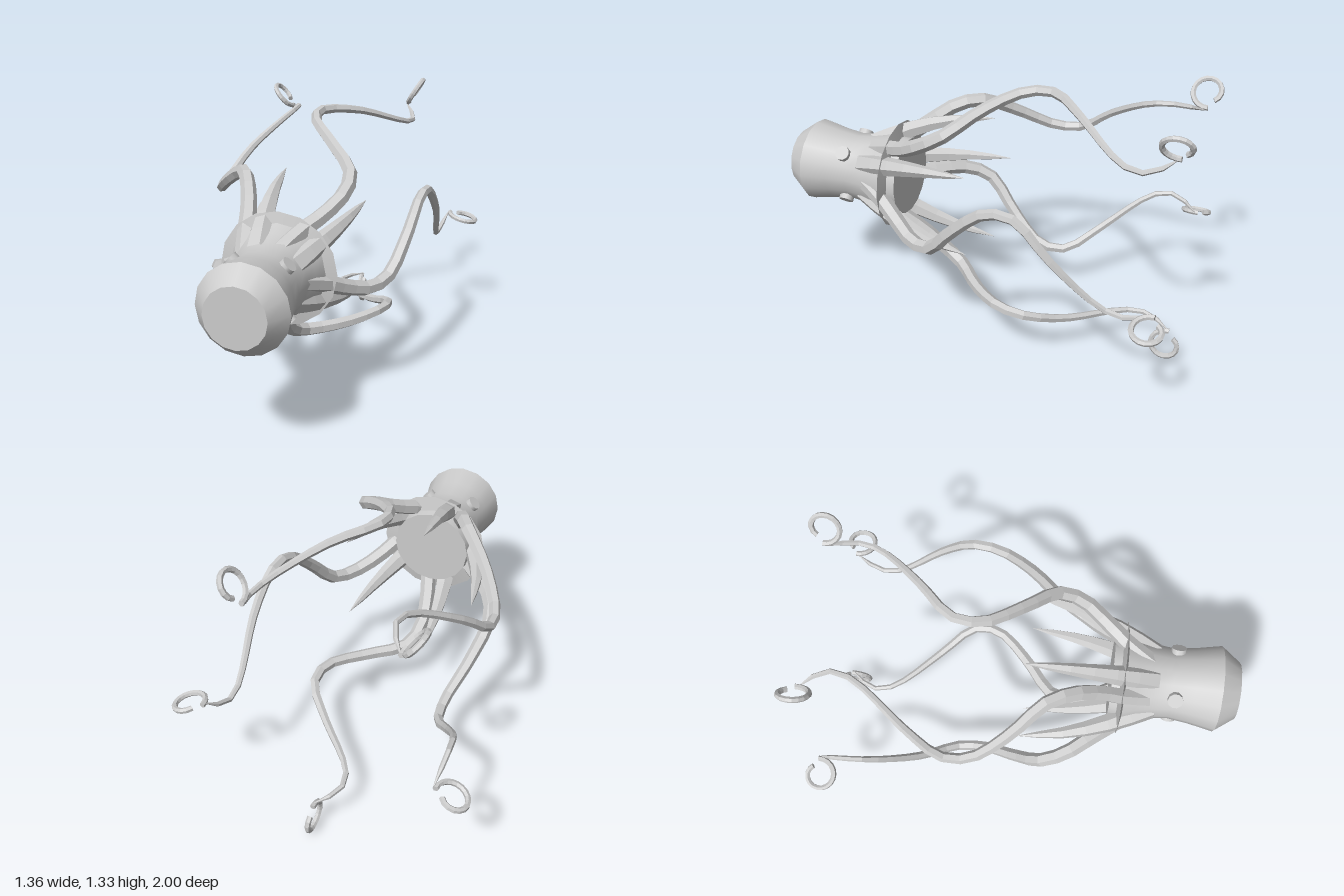
import * as THREE from 'three';

const skin = new THREE.MeshStandardMaterial({ color: 0xcccccc });
skin.name = 'pale grey';

const vec = (p) => new THREE.Vector3(...p);

function part(name, geometry) {
  const mesh = new THREE.Mesh(geometry, skin);
  mesh.name = name;
  return mesh;
}

// Surface of revolution around z; profile is [radius, z] with z rising
function turned(name, profile) {
  const geo = new THREE.LatheGeometry(profile.map(([r, z]) => new THREE.Vector2(r, z)), 16);
  return part(name, geo.rotateX(Math.PI / 2));
}

// Faceted tube whose radius follows radiusAt(t); capped folds both end rings into flat caps
function sweep(name, points, segments, sides, radiusAt, capped = false) {
  const curve = new THREE.CatmullRomCurve3(points.map(vec));
  const geo = new THREE.TubeGeometry(curve, segments, 1, sides);
  const pos = geo.attributes.position;
  const v = new THREE.Vector3();
  for (let i = 0; i <= segments; i++) {
    const end = i === 0 || i === segments;
    const ringCentre = curve.getPointAt(i / segments);
    const target = capped && end
      ? curve.getPointAt((i === 0 ? 1 : segments - 1) / segments) : ringCentre;
    const r = capped && end ? 0 : radiusAt(i / segments);
    for (let j = 0; j <= sides; j++) {
      const k = i * (sides + 1) + j;
      v.fromBufferAttribute(pos, k).sub(ringCentre).multiplyScalar(r).add(target);
      pos.setXYZ(k, v.x, v.y, v.z);
    }
  }
  const flat = geo.toNonIndexed();
  flat.computeVertexNormals();
  return part(name, flat);
}

export function createModel() {
  const model = new THREE.Group();
  model.name = 'tentacledCreature';
  const creature = new THREE.Group();
  creature.name = 'creature';
  creature.position.set(-0.024, 0.72, 0);
  model.add(creature);

  // Body: front face, bevel, waisted barrel, thin collar and rear plug
  creature.add(
    turned('frontFace', [[0.136, 1], [0, 1]]),
    turned('frontBevel', [[0.203, 0.91], [0.136, 1]]),
    turned('barrel', [[0.222, 0.46], [0.195, 0.53], [0.176, 0.6], [0.166, 0.69], [0.179, 0.79], [0.203, 0.91]]),
    turned('collarFront', [[0.267, 0.46], [0.2, 0.475]]),
    turned('collarBack', [[0.195, 0.445], [0.267, 0.46]]),
    turned('rearPlug', [[0.192, 0.408], [0.2, 0.46]]),
    turned('rearFace', [[0, 0.408], [0.192, 0.408]]),
  );

  // Four stubby eyes around the waist
  for (let i = 0; i < 4; i++) {
    const a = Math.PI / 4 + i * Math.PI / 2;
    const eye = part('eye', new THREE.CylinderGeometry(0.036, 0.036, 0.06, 10));
    eye.position.set(0.156 * Math.cos(a), 0.156 * Math.sin(a), 0.705);
    eye.rotation.z = a - Math.PI / 2;
    creature.add(eye);
  }

  // Path of one long arm, from inside the barrel to its thin tip
  const armPath = [
    [0.14, 0, 0.58], [0.21, -0.04, 0.46], [0.28, -0.095, 0.35], [0.36, -0.13, 0.24],
    [0.42, -0.11, 0.13], [0.475, 0.05, -0.02], [0.5, 0.18, -0.18], [0.515, 0.185, -0.31],
    [0.535, 0.04, -0.47], [0.51, -0.14, -0.66], [0.5, -0.19, -0.75], [0.505, -0.19, -0.83],
    [0.537, -0.12, -0.93],
  ];

  // Curl at the arm's end: a tightening loop in the plane of z and the outward direction
  const outward = Math.atan2(-0.125, 0.537);
  const curlPath = [];
  for (let i = 0; i <= 14; i++) {
    const t = i / 14;
    const a = -0.4 + 6.5 * t;
    const radius = 0.082 - 0.034 * t;
    const d = 0.64 - radius * Math.cos(a);
    curlPath.push([d * Math.cos(outward), d * Math.sin(outward), -0.931 + radius * Math.sin(a)]);
  }

  const spikePath = [[0.13, 0, 0.6], [0.225, 0, 0.43], [0.3, 0, 0.23], [0.347, 0, 0]];

  // Five arms with curls, and five spikes between them
  for (let i = 0; i < 5; i++) {
    const turn = i * Math.PI * 2 / 5;
    const arm = new THREE.Group();
    arm.name = 'arm';
    arm.rotation.z = turn;
    arm.add(
      sweep('tentacle', armPath, 24, 6, (t) => (t > 0.99 ? 0.002 : 0.042 - 0.032 * t)),
      sweep('curl', curlPath, 18, 6, () => 0.013, true),
    );
    const spike = sweep('spike', spikePath, 6, 6, (t) => 0.058 * Math.pow(1 - t, 0.7));
    spike.rotation.z = turn + Math.PI / 5;
    creature.add(arm, spike);
  }

  return model;
}
